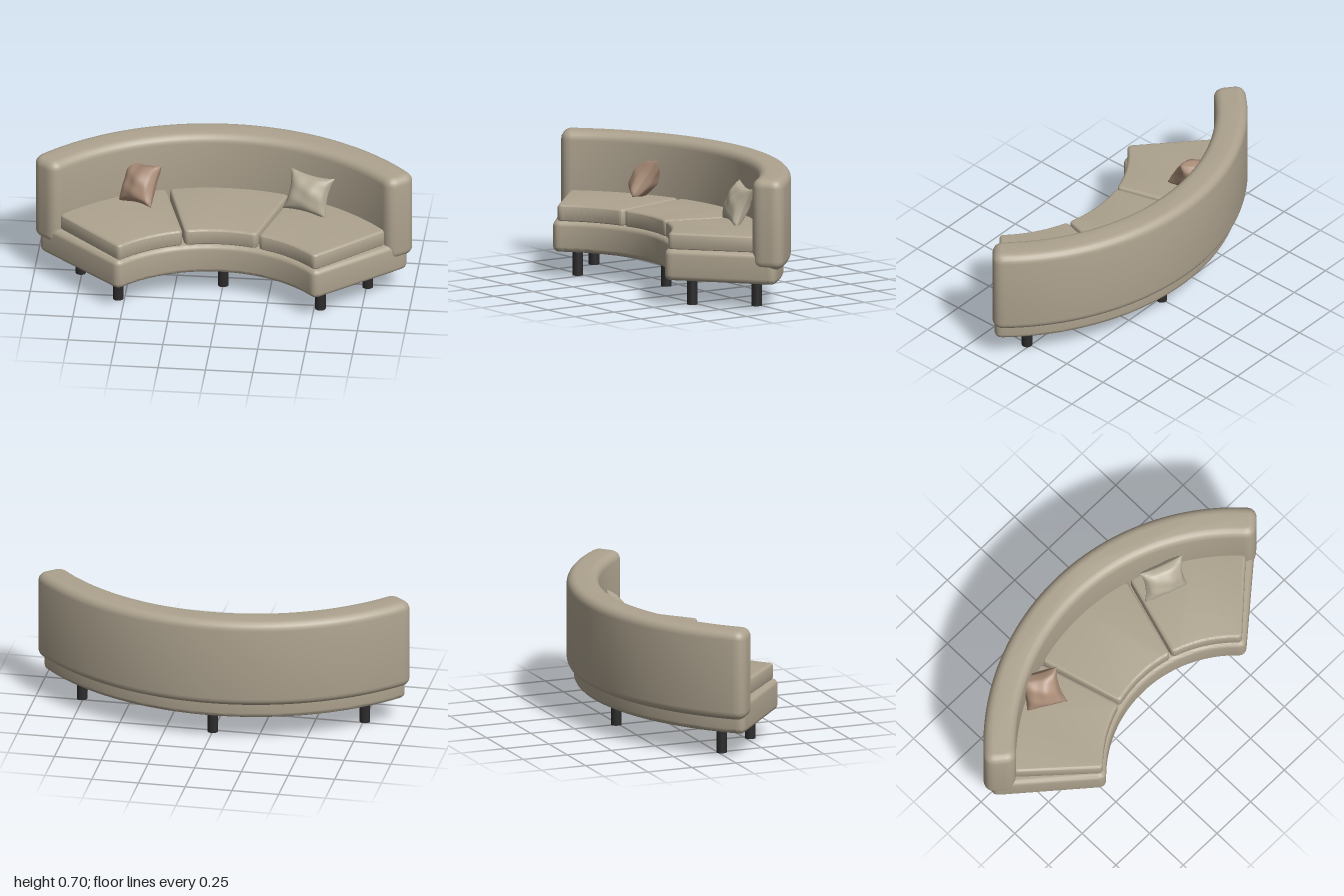
import * as THREE from 'three';
import { mergeVertices, toCreasedNormals } from 'three/addons/utils/BufferGeometryUtils.js';

const CZ = 0.89; // z of the common centre of all arcs
const DEG = Math.PI / 180;

// Ring sector with rounded plan corners and bevelled edges; angles in degrees from the back (-z)
function sector(ri, ro, startDeg, endDeg, y0, y1, corner, bevel) {
  const a0 = startDeg * DEG, a1 = endDeg * DEG;
  const p = (r, a) => [r * Math.sin(a), r * Math.cos(a) - CZ];
  const so = corner / ro, si = corner / ri, q = Math.PI / 2;
  const s = new THREE.Shape();
  s.moveTo(...p(ro, a0 + so));
  s.absarc(0, -CZ, ro, q - a0 - so, q - a1 + so, true);
  s.quadraticCurveTo(...p(ro, a1), ...p(ro - corner, a1));
  s.lineTo(...p(ri + corner, a1));
  s.quadraticCurveTo(...p(ri, a1), ...p(ri, a1 - si));
  s.absarc(0, -CZ, ri, q - a1 + si, q - a0 - si, false);
  s.quadraticCurveTo(...p(ri, a0), ...p(ri + corner, a0));
  s.lineTo(...p(ro - corner, a0));
  s.quadraticCurveTo(...p(ro, a0), ...p(ro, a0 + so));
  const g = new THREE.ExtrudeGeometry(s, {
    depth: y1 - y0 - 2 * bevel, curveSegments: 24, bevelEnabled: true,
    bevelThickness: bevel, bevelSize: bevel, bevelOffset: -bevel, bevelSegments: 5,
  });
  g.rotateX(-Math.PI / 2);
  g.translate(0, y0 + bevel, 0);
  return toCreasedNormals(g, 0.7);
}

// Plump square pillow with pinched sides, pointed corners and soft creases
function pillowGeometry(w, h, t) {
  const g = new THREE.BoxGeometry(2, 2, 2, 20, 20, 1);
  const pos = g.attributes.position;
  for (let i = 0; i < pos.count; i++) {
    const u = pos.getX(i), v = pos.getY(i), side = Math.sign(pos.getZ(i));
    const puff = Math.pow(Math.max(0, (1 - u * u) * (1 - v * v)), 0.45);
    const crease = 1 + 0.08 * Math.sin(5 * u + 3 * v) * Math.cos(4 * v - 2 * u);
    pos.setXYZ(i,
      u * w / 2 * (1 - 0.15 * (1 - v * v)),
      v * h / 2 * (1 - 0.13 * (1 - u * u)),
      side * (0.003 + t / 2 * puff * crease));
  }
  g.deleteAttribute('normal');
  g.deleteAttribute('uv');
  const merged = mergeVertices(g, 1e-5);
  merged.computeVertexNormals();
  return merged;
}

export function createModel() {
  const model = new THREE.Group();
  const material = (name, color) => {
    const m = new THREE.MeshStandardMaterial({ color });
    m.name = name;
    return m;
  };
  const fabric = material('beige fabric', 0xaea38f);
  const cream = material('cream fabric', 0xb5ac98);
  const brown = material('brown fabric', 0xa88b76);
  const black = material('black legs', 0x2b2b2b);
  const add = (name, geometry, mat) => {
    const mesh = new THREE.Mesh(geometry, mat);
    mesh.name = name;
    model.add(mesh);
    return mesh;
  };

  // Curved base and wraparound backrest
  add('base', sector(0.68, 1.287, -49.5, 49.5, 0.14, 0.305, 0.045, 0.028), fabric);
  add('backrest', sector(1.155, 1.325, -50, 50, 0.22, 0.70, 0.065, 0.045), fabric);

  // Three seat cushions with narrow gaps
  [['rightCushion', -47.6, -16.5], ['middleCushion', -15.7, 15.7], ['leftCushion', 16.5, 47.6]]
    .forEach(([name, a, b]) =>
      add(name, sector(0.697, 1.17, a, b, 0.30, 0.39, 0.028, 0.016), fabric));

  // Two arcs of three legs
  const legGeometry = new THREE.CylinderGeometry(0.028, 0.028, 0.15, 24);
  for (const [row, r] of [['front', 0.813], ['back', 1.153]]) {
    for (const deg of [-41, 0, 41]) {
      const a = deg * DEG;
      add(row + 'Leg', legGeometry, black)
        .position.set(r * Math.sin(a), 0.075, CZ - r * Math.cos(a));
    }
  }

  // Loose pillows leaning back on the seat
  const left = add('creamPillow', pillowGeometry(0.25, 0.22, 0.11), cream);
  left.position.set(0.435, 0.485, -0.08);
  left.rotation.set(-0.4, -0.3, -0.06, 'YXZ');
  const right = add('brownPillow', pillowGeometry(0.22, 0.23, 0.13), brown);
  right.position.set(-0.455, 0.488, -0.095);
  right.rotation.set(-0.6, -0.7, 0.2, 'YXZ');

  return model;
}
